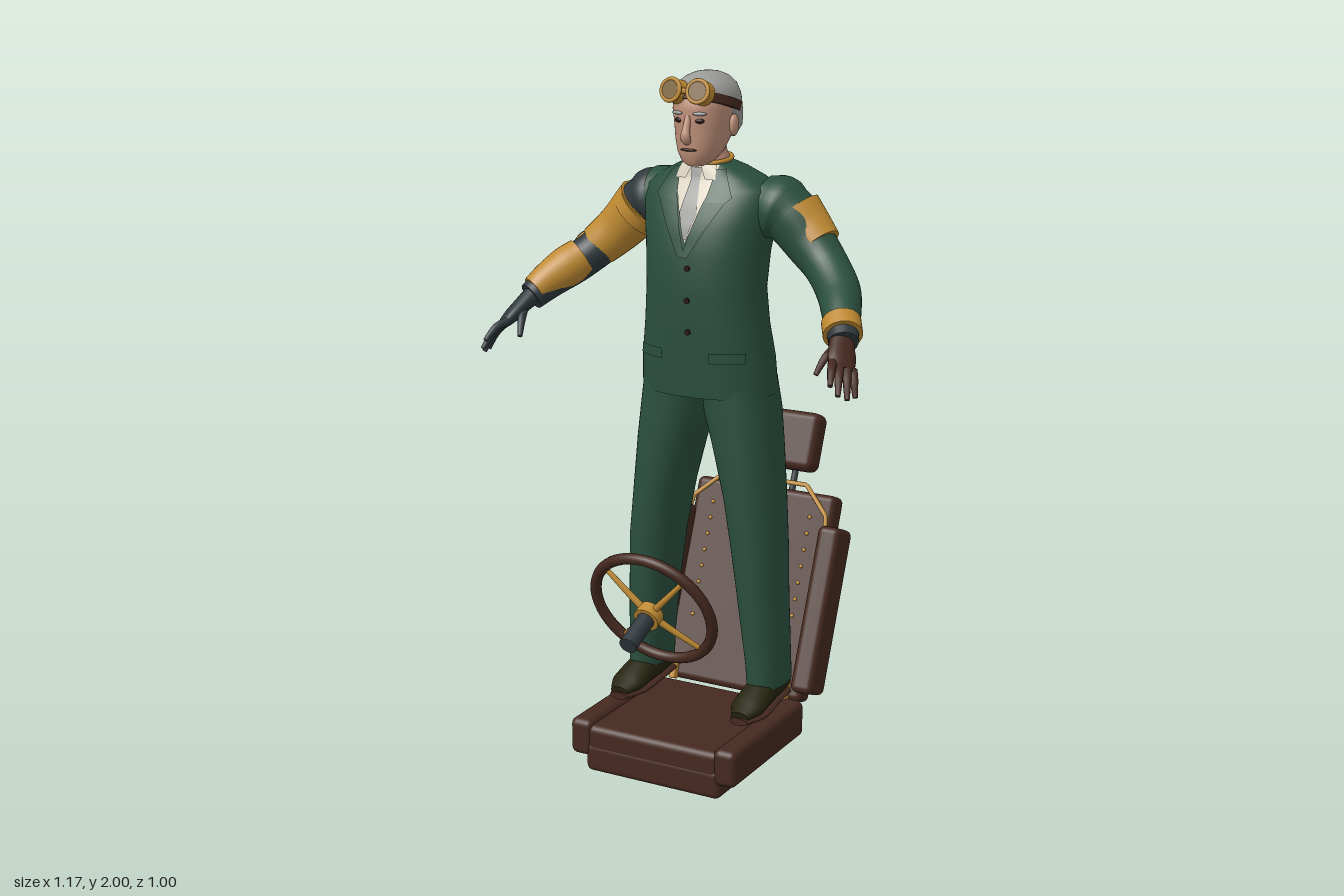
import * as THREE from 'three';
import { RoundedBoxGeometry } from 'three/addons/geometries/RoundedBoxGeometry.js';

const V = (x, y, z) => new THREE.Vector3(x, y, z);
const mat = (name, color) => Object.assign(new THREE.MeshStandardMaterial({ color }), { name });

// Skins a list of point rings, with flat caps; winding is settled by volume
function skin(rings) {
  const n = rings[0].length, pos = [], idx = [];
  const add = (r) => { const at = pos.length / 3; r.forEach((p) => pos.push(p.x, p.y, p.z)); return at; };
  rings.forEach(add);
  for (let i = 0; i < rings.length - 1; i++) for (let j = 0; j < n; j++) {
    const a = i * n + j, b = i * n + (j + 1) % n;
    idx.push(a, b, a + n, b, b + n, a + n);
  }
  [rings[0], rings[rings.length - 1]].forEach((r, end) => {
    const at = add(r), mid = r.reduce((s, p) => s.add(p), V(0, 0, 0)).divideScalar(n), c = add([mid]);
    for (let j = 0; j < n; j++) {
      const a = at + j, b = at + (j + 1) % n;
      end ? idx.push(a, b, c) : idx.push(b, a, c);
    }
  });
  let vol = 0;
  const P = (i) => V(pos[3 * i], pos[3 * i + 1], pos[3 * i + 2]);
  for (let i = 0; i < idx.length; i += 3) vol += P(idx[i]).dot(P(idx[i + 1]).cross(P(idx[i + 2])));
  if (vol < 0) idx.reverse();
  const g = new THREE.BufferGeometry();
  g.setAttribute('position', new THREE.Float32BufferAttribute(pos, 3));
  g.setIndex(idx);
  g.computeVertexNormals();
  return g;
}

// Upright body from rows of [y, x0, x1, zBack, zFront], superellipse exponent e
function body(rows, e = 2, n = 48) {
  return skin(rows.map(([y, x0, x1, z0, z1]) => Array.from({ length: n }, (_, j) => {
    const a = j / n * Math.PI * 2, c = Math.cos(a), s = Math.sin(a);
    const f = (v) => Math.sign(v) * Math.abs(v) ** (2 / e);
    return V((x0 + x1) / 2 + f(c) * (x1 - x0) / 2, y, (z0 + z1) / 2 + f(s) * (z1 - z0) / 2);
  })));
}

// Limb along [x, y, z, halfWidth, halfDepth]; s mirrors it in x
function limb(points, s = 1, across = V(0, 0, 1), steps = 20, n = 18) {
  const path = new THREE.CatmullRomCurve3(points.map((p) => V(p[0] * s, p[1], p[2])));
  const size = new THREE.CatmullRomCurve3(points.map((p) => V(p[3], p[4] ?? p[3], 0)));
  const side = V(across.x * s, across.y, across.z);
  return skin(Array.from({ length: steps + 1 }, (_, i) => {
    const t = i / steps, c = path.getPoint(t), r = size.getPoint(t), d = path.getTangent(t);
    const u = side.clone().addScaledVector(d, -side.dot(d)).normalize(), w = d.clone().cross(u);
    return Array.from({ length: n }, (_, j) => {
      const a = j / n * Math.PI * 2;
      return c.clone().addScaledVector(u, Math.cos(a) * r.x).addScaledVector(w, Math.sin(a) * r.y);
    });
  }));
}

// Jacket rows: y, half width, front z, back z
const TORSO = [[1.1, .2, .16, -.125], [1.2, .195, .165, -.115], [1.3, .181, .17, -.1], [1.4, .173, .174, -.095],
  [1.5, .178, .17, -.112], [1.58, .19, .153, -.12], [1.64, .2, .13, -.12], [1.68, .195, .108, -.11],
  [1.708, .158, .094, -.095], [1.735, .105, .087, -.07], [1.75, .07, .082, -.045]];
function chestZ(x, y) {
  let i = 0;
  while (i < TORSO.length - 2 && y > TORSO[i + 1][0]) i++;
  const A = TORSO[i], B = TORSO[i + 1], t = (y - A[0]) / (B[0] - A[0]);
  const [, w, f, b] = A.map((v, k) => v + (B[k] - v) * t);
  return (f + b) / 2 + (f - b) / 2 * Math.max(0, 1 - Math.abs(x / w) ** 2.3) ** (1 / 2.3);
}

// Thin cloth lying on the chest, from rows of [y, x0, x1] going down
function cloth(rows, lift) {
  const pos = [], idx = [], n = 8;
  for (let i = 0; i < rows.length - 1; i++) for (let k = i ? 1 : 0; k <= 6; k++) {
    const [y, a, b] = rows[i].map((v, q) => v + (rows[i + 1][q] - v) * k / 6);
    for (let j = 0; j <= n; j++) { const x = a + (b - a) * j / n; pos.push(x, y, chestZ(x, y) + lift); }
  }
  for (let i = 0; i < pos.length / 3 / (n + 1) - 1; i++) for (let j = 0; j < n; j++) {
    const a = i * (n + 1) + j, c = a + n + 1;
    idx.push(a, c, a + 1, c, c + 1, a + 1);
  }
  const g = new THREE.BufferGeometry();
  g.setAttribute('position', new THREE.Float32BufferAttribute(pos, 3));
  g.setIndex(idx);
  g.computeVertexNormals();
  return g;
}

export function createModel() {
  const green = mat('suit green', 0x2a4f3e), leather = mat('brown leather', 0x45291f), brass = mat('brass', 0xbf8a32),
    slate = mat('slate metal', 0x30393d), grey = mat('hair grey', 0x9a9a98), flesh = mat('skin', 0xbd8f78),
    linen = mat('shirt cream', 0xd6cebb), shoeMat = mat('dark olive', 0x26240f), glass = mat('lens bronze', 0x7d6238),
    dark = mat('dark eye', 0x2a1512);
  linen.side = green.side = grey.side = THREE.DoubleSide;
  const model = new THREE.Group();
  const group = (name) => { const g = new THREE.Group(); g.name = name; model.add(g); return g; };
  const put = (parent, name, geo, m, x = 0, y = 0, z = 0, rx = 0, ry = 0, rz = 0) => {
    const o = new THREE.Mesh(geo, m);
    o.name = name; o.position.set(x, y, z); o.rotation.set(rx, ry, rz); parent.add(o);
    return o;
  };
  const box = (w, h, d, r = .02) => new RoundedBoxGeometry(w, h, d, 3, r);
  const cyl = (r, h, n = 24, r2 = r) => new THREE.CylinderGeometry(r, r2, h, n);
  const ball = (a, b, c) => new THREE.SphereGeometry(1, 20, 14).scale(a, b, c);

  // Seat base
  const seat = group('seat');
  put(seat, 'seatBase', box(.44, .09, .485), leather, 0, .045, .132);
  put(seat, 'seatCushion', box(.43, .1, .44), leather, 0, .092, .153);
  for (const s of [-1, 1]) put(seat, 'seatBolster', box(.07, .11, .445), leather, s * .235, .1, .153);

  // Reclined backrest with rail, studs and headrest
  const back = group('backrest');
  back.position.set(0, .1, -.17);
  back.rotation.x = -.385;
  put(back, 'backPanel', box(.47, .625, .08), leather, 0, .312, .04);
  put(back, 'headrest', box(.27, .18, .085, .025), leather, 0, .776, .037);
  for (const s of [-1, 1]) {
    put(back, 'backBolster', box(.07, .5, .115), leather, s * .255, .28, .078);
    put(back, 'headrestPost', cyl(.01, .14, 12), slate, s * .07, .66, .035);
    put(back, 'hingeBracket', box(.02, .07, .03, .005), brass, s * .19, .03, .085);
    for (let i = 0; i < 8; i++) put(back, 'stud', ball(.006, .006, .005), brass, s * .165, .2 + i * .05, .081);
  }
  const rail = new THREE.CurvePath();
  const rp = [V(-.23, .53, .1), V(-.225, .56, .1), V(-.14, .644, .087), V(.14, .644, .087), V(.225, .56, .1), V(.23, .53, .1)];
  for (let i = 0; i < 5; i++) rail.add(new THREE.LineCurve3(rp[i], rp[i + 1]));
  put(back, 'brassRail', new THREE.TubeGeometry(rail, 60, .007, 8), brass);

  // Steering wheel
  const wheel = group('steeringWheel');
  wheel.position.set(0, .53, .35);
  wheel.rotation.x = .41;
  put(wheel, 'wheelRim', new THREE.TorusGeometry(.183, .016, 12, 56), leather);
  for (let i = 0; i < 4; i++) {
    const a = Math.PI / 4 + i * Math.PI / 2;
    put(wheel, 'wheelSpoke', limb([[0, 0, .025, .011], [.09 * Math.cos(a), .09 * Math.sin(a), .013, .009],
      [.175 * Math.cos(a), .175 * Math.sin(a), 0, .007]], 1, V(0, 0, 1), 8, 10), brass);
  }
  put(wheel, 'wheelHub', cyl(.038, .035), brass, 0, 0, .03, Math.PI / 2);
  put(wheel, 'hubCap', ball(.025, .025, .012), slate, 0, 0, .012);
  put(wheel, 'steeringColumn', cyl(.026, .11), slate, 0, 0, .1, Math.PI / 2);

  // Jacket, shirt and tie
  const suit = group('suit');
  put(suit, 'jacket', body(TORSO.map(([y, w, f, b]) => [y, -w, w, b, f]), 2.3, 72), green);
  put(suit, 'shirt', cloth([[1.747, -.058, .058], [1.7, -.06, .06], [1.54, -.002, .002]], .005), linen);
  put(suit, 'tie', cloth([[1.74, -.017, .017], [1.71, -.013, .013], [1.62, -.027, .027], [1.55, -.005, .005]], .009), grey);
  const flip = (rows, s) => rows.map(([y, a, b]) => (s > 0 ? [y, a, b] : [y, -b, -a]));
  for (const s of [-1, 1]) {
    put(suit, 'lapel', cloth(flip([[1.738, .057, .08], [1.665, .046, .118], [1.65, .04, .102], [1.5, -.006, .014]], s), .011), green);
    put(suit, 'pocketFlap', cloth(flip([[1.235, .075, .165], [1.205, .075, .165]], s), .008), green);
    put(suit, 'shirtCollar', cloth(flip([[1.749, .012, .055], [1.71, .03, .062]], s), .013), linen);
    // Trousers and shoes
    const leg = [[.235, .145, .25, -.075, .115], [.3, .14, .25, -.07, .115], [.5, .115, .245, -.07, .126], [.65, .095, .24, -.08, .135],
      [.8, .07, .226, -.1, .14], [.95, .03, .215, -.11, .14], [1.05, 0, .205, -.118, .14], [1.14, -.01, .192, -.11, .14]];
    put(suit, 'trouserLeg', body(leg.map(([y, a, b, c, d]) => [y, s > 0 ? a : -b, s > 0 ? b : -a, c, d]), 2.2), green);
    put(suit, 'shoe', limb([[.195, .215, -.055, .034, .032], [.195, .225, .02, .042, .05], [.198, .218, .09, .047, .043],
      [.2, .203, .16, .05, .028], [.2, .193, .212, .028, .014]], s, V(1, 0, 0)), shoeMat);
    put(suit, 'shoeSole', limb([[.195, .179, -.062, .034, .014], [.195, .179, .02, .042, .012], [.2, .179, .14, .054, .013],
      [.2, .179, .218, .028, .011]], s, V(1, 0, 0)), leather);
  }
  for (const y of [1.47, 1.38, 1.29]) put(suit, 'button', cyl(.008, .008, 12), dark, .012, y, chestZ(.012, y) + .003, Math.PI / 2);

  // Neck, head and face
  const head = group('head');
  put(head, 'neck', limb([[0, 1.69, .015, .062], [0, 1.76, .025, .058], [0, 1.85, .04, .058]]), flesh);
  put(head, 'choker', new THREE.TorusGeometry(.063, .007, 8, 36), brass, 0, 1.757, .024, Math.PI / 2 + .12);
  put(head, 'face', body([[1.746, -.022, .022, .06, .125], [1.758, -.042, .042, .03, .138], [1.785, -.06, .06, 0, .143],
    [1.82, -.07, .07, -.03, .146], [1.86, -.077, .077, -.05, .145], [1.9, -.082, .082, -.057, .149],
    [1.94, -.08, .08, -.055, .142], [1.975, -.055, .055, -.03, .11]], 2.2), flesh);
  put(head, 'hair', body([[1.815, -.055, .055, -.042, -.005], [1.85, -.081, .081, -.058, .035], [1.885, -.088, .088, -.064, .075],
    [1.925, -.09, .09, -.066, .125], [1.94, -.089, .089, -.066, .145], [1.965, -.078, .078, -.056, .132], [1.985, -.056, .056, -.034, .106],
    [1.996, -.032, .032, -.005, .078], [2, -.008, .008, .025, .045]], 2.1), grey);
  put(head, 'nose', limb([[0, 1.885, .143, .008], [0, 1.85, .155, .011], [0, 1.828, .16, .015, .012], [0, 1.815, .148, .011]], 1, V(1, 0, 0), 10, 12), flesh);
  put(head, 'mouth', ball(.025, .004, .006), dark, 0, 1.793, .142);
  for (const s of [-1, 1]) {
    put(head, 'ear', ball(.012, .03, .019), flesh, s * .084, 1.855, .035);
    put(head, 'eye', ball(.013, .007, .006), dark, s * .033, 1.873, .138, 0, s * .3);
    put(head, 'eyebrow', ball(.02, .005, .007), grey, s * .035, 1.893, .142, 0, s * .3);
  }

  // Goggles pushed up on the forehead
  const goggles = group('goggles');
  put(goggles, 'strap', cyl(1, .026, 48).scale(.094, 1, .112), leather, 0, 1.914, .04, -.29);
  put(goggles, 'bridge', box(.04, .014, .02, .005), brass, 0, 1.955, .152);
  for (const s of [-1, 1]) {
    put(goggles, 'goggleCup', cyl(.03, .04, 24, .034), brass, s * .04, 1.952, .145, 1.3, 0, -s * .12);
    put(goggles, 'goggleRim', new THREE.TorusGeometry(.03, .006, 8, 28), brass, s * .042, 1.957, .165, -.27, s * .12);
    put(goggles, 'lens', cyl(.026, .004), glass, s * .042, 1.957, .167, 1.3, 0, -s * .12);
  }

  // Arms: +1 is sleeved, -1 is mechanical
  const path = [[.15, 1.635, -.015, .083], [.225, 1.612, -.018, .083], [.3, 1.535, -.012, .071], [.36, 1.48, .01, .063],
    [.42, 1.425, .06, .061], [.46, 1.385, .125, .054], [.494, 1.343, .187, .045]];
  const shape = (rows, k, dx = 0, dy = 0, dz = 0) => rows.map(([x, y, z, r]) => [x + dx, y + dy, z + dz, r * k]);
  const left = group('leftArm'), right = group('rightArm');
  put(left, 'sleeve', limb(path, 1, undefined, 36, 28), green);
  put(left, 'sleevePatch', limb([[.235, 1.606, -.018, .08], [.27, 1.568, -.016, .074], [.315, 1.522, -.006, .067]]
    .map(([x, y, z, r]) => [x + .008, y + .009, z - .006, r]), 1, undefined, 12, 28), brass);
  put(left, 'cuffBand', limb([[.474, 1.366, .155, .054], [.496, 1.34, .19, .054]], 1, undefined, 4, 28), brass);
  put(left, 'cuffRing', limb([[.496, 1.34, .19, .043], [.507, 1.325, .21, .041]], 1, undefined, 4), slate);
  put(right, 'innerArm', limb(shape(path, .92), -1, undefined, 36, 28), slate);
  put(right, 'tornSleeve', limb([[.13, 1.635, -.015, .085], [.185, 1.63, -.017, .086]], -1, undefined, 4, 28), green);
  put(right, 'skinPatch', ball(.012, .012, .035), flesh, -.205, 1.69, -.015, 0, 0, .4);
  put(right, 'upperArmPlate', limb(shape(path.slice(1, 4), .99, .012, -.006), -1, undefined, 16, 28), brass);
  put(right, 'shoulderBand', limb([[.232, 1.598, -.018, .088], [.258, 1.572, -.017, .085]], -1, undefined, 4, 28), brass);
  put(right, 'forearmPlate', limb([[.405, 1.445, .055, .056], [.43, 1.422, .085, .059], [.465, 1.388, .14, .05],
    [.488, 1.36, .178, .042]], -1, undefined, 16, 28), brass);
  put(right, 'elbowDisc', cyl(.026, .02), brass, -.415, 1.495, .025, .1, 0, .75);
  put(right, 'elbowBolt', cyl(.012, .026), slate, -.416, 1.496, .025, .1, 0, .75);
  put(right, 'forearmRod', limb([[.36, 1.425, .05, .006], [.42, 1.37, .13, .006], [.47, 1.335, .18, .006]], -1, undefined, 10, 8), brass);

  // Hands
  const across = V(.04, -.02, -.035);
  const fingers = [[[.512, 1.288, .285], [.54, 1.243, .357]], [[.53, 1.278, .28], [.557, 1.215, .345]],
    [[.545, 1.27, .267], [.571, 1.2, .318]], [[.554, 1.264, .25], [.579, 1.2, .285]], [[.492, 1.312, .232], [.466, 1.25, .292]]];
  for (const [s, arm, m] of [[1, left, leather], [-1, right, slate]]) {
    put(arm, 'palm', limb([[.492, 1.346, .185, .032, .028], [.507, 1.32, .22, .036, .024], [.522, 1.295, .25, .041, .021],
      [.537, 1.27, .28, .035, .013]], s, across), m);
    fingers.forEach(([a, b], i) => {
      const bend = a.map((v, k) => (v + b[k]) / 2 + (k === 1 ? .01 : 0));
      put(arm, i < 4 ? 'finger' : 'thumb', limb([[...a, .013], [...bend, .0115], [...b, .007]], s, across, 8, 10), m);
    });
  }
  return model;
}
